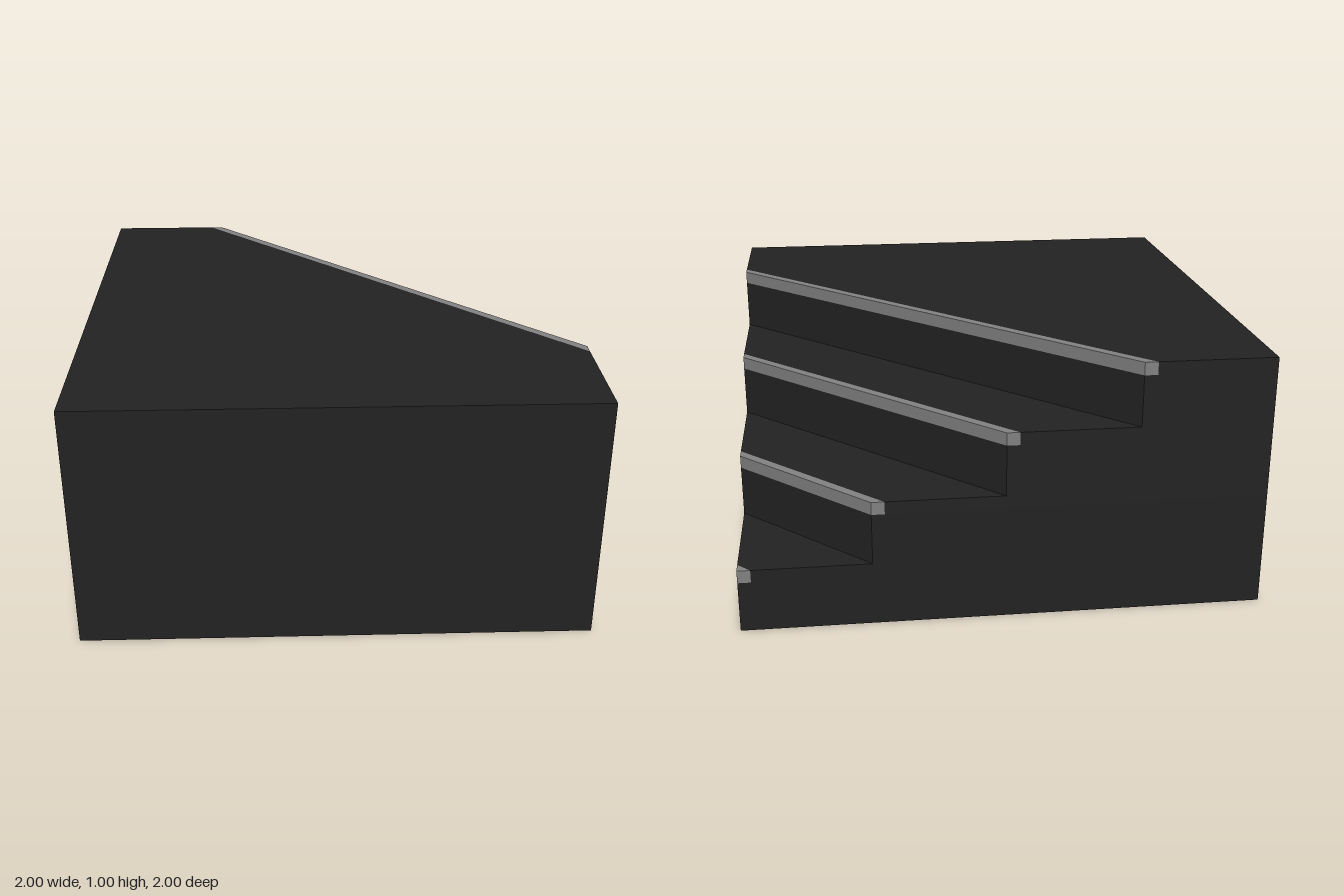
import * as THREE from 'three';

const RISE = 0.25; // height of one step
const NOSE = 0.05; // width and height of the edge strip

const stone = new THREE.MeshStandardMaterial({ color: 0x222222 });
stone.name = 'dark stone';
const trim = new THREE.MeshStandardMaterial({ color: 0x808080 });
trim.name = 'grey trim';

// Upright prism from a plan outline given as [x, z] corners
function prism(name, outline, y0, y1, material) {
  const corners = outline.filter(([x, z], i) => {
    const [px, pz] = outline[(i + outline.length - 1) % outline.length];
    return Math.hypot(x - px, z - pz) > 1e-6;
  });
  const shape = new THREE.Shape(corners.map(([x, z]) => new THREE.Vector2(x, -z)));
  const geometry = new THREE.ExtrudeGeometry(shape, { depth: y1 - y0, bevelEnabled: false });
  geometry.rotateX(-Math.PI / 2).translate(0, y0, 0);
  const mesh = new THREE.Mesh(geometry, material);
  mesh.name = name;
  return mesh;
}

// Square plan with its back left corner cut along the diagonal x - z = d
const cutSquare = (d) => [[-1, 1], [1, 1], [1, 1 - d], [d - 1, -1], [-1, -1]];

// Diagonal strip between the lines x - z = a and x - z = b
const strip = (a, b) => [[a - 1, -1], [1, 1 - a], [1, 1 - b], [b - 1, -1]];

export function createModel() {
  const model = new THREE.Group();
  model.name = 'cornerStairs';

  // Four steps from the bottom up, each cut further back
  for (let i = 0; i < 4; i++) {
    const d = 2 - i * 0.5;
    const y0 = i * RISE;
    const y1 = y0 + RISE;
    const step = new THREE.Group();
    step.name = `step${i + 1}`;
    step.add(
      prism('riser', cutSquare(d), y0, y1 - NOSE, stone),
      prism('tread', cutSquare(d - NOSE), y1 - NOSE, y1, stone),
      prism('edgeStrip', strip(d - NOSE, d), y1 - NOSE, y1, trim)
    );
    model.add(step);
  }
  return model;
}
